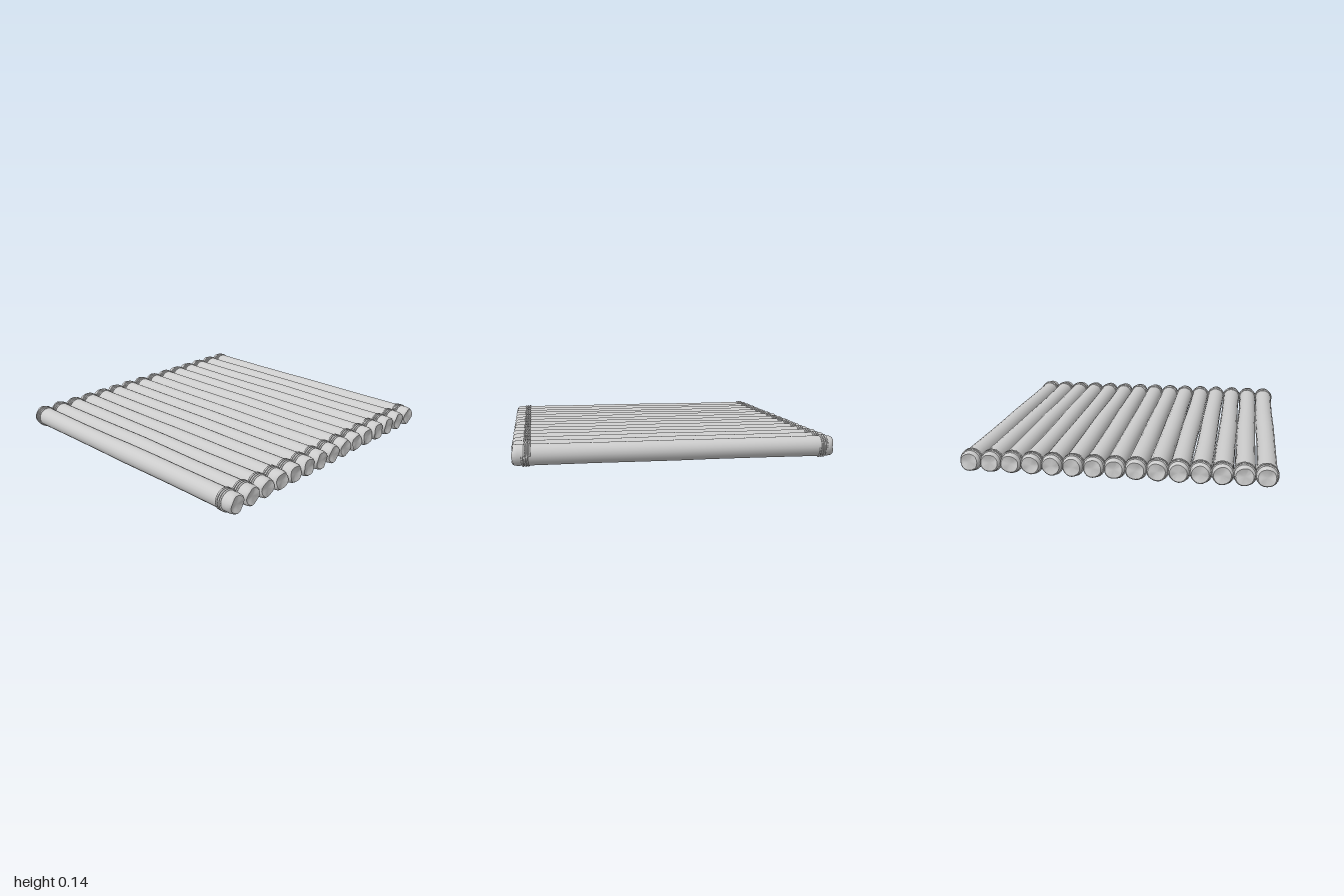
import * as THREE from 'three';
import { toCreasedNormals } from 'three/addons/utils/BufferGeometryUtils.js';

const COUNT = 15, SPACING = 0.132, CENTER_Y = 0.0725;
const material = new THREE.MeshStandardMaterial({ color: 0xcccccc });

// Round log along z, with chipped, chamfered ends and a slightly uneven girth
function logGeometry(seed) {
  const profile = [
    [0, -0.988], [0.035, -0.991], [0.054, -0.995], [0.062, -0.985], [0.065, -0.965], [0.065, -0.85],
    [0.064, -0.5], [0.0645, -0.2], [0.066, 0], [0.0645, 0.25], [0.063, 0.5], [0.0645, 0.85],
    [0.065, 0.965], [0.062, 0.985], [0.054, 0.995], [0.035, 0.991], [0, 0.988],
  ].map(([r, y]) => new THREE.Vector2(r, y));
  const geometry = new THREE.LatheGeometry(profile, 20);
  geometry.rotateX(Math.PI / 2);
  const p = geometry.attributes.position;
  for (let i = 0; i < p.count; i++) {
    const x = p.getX(i), y = p.getY(i), z = p.getZ(i);
    const r = Math.hypot(x, y), a = Math.atan2(y, x);
    const middle = 1 - z * z;
    const girth = 1 + 0.025 * middle * Math.sin(3 * z + seed * 1.7);
    const bow = 0.0025 * middle * Math.sin(4 * z + seed * 2.3);
    const chip = Math.abs(z) > 0.97 ? 0.005 * (r / 0.06) * Math.sin(3 * a + seed) : 0;
    p.setXYZ(i, x * girth + bow, y * girth, z + chip);
  }
  return toCreasedNormals(geometry, 0.6);
}

// Rope winding: a slanted coil of a few turns around the log
function ropeGeometry() {
  const points = [];
  const turns = 3, steps = 20;
  for (let i = 0; i <= turns * steps; i++) {
    const t = i / steps, a = t * Math.PI * 2;
    const z = (t / turns - 0.5) * 0.045 + 0.006 * Math.cos(a);
    points.push(new THREE.Vector3(Math.cos(a) * 0.0665, Math.sin(a) * 0.0665, z));
  }
  return new THREE.TubeGeometry(new THREE.CatmullRomCurve3(points), 84, 0.006, 6);
}

export function createModel() {
  const model = new THREE.Group();
  model.name = 'logPlatform';
  const rope = ropeGeometry();

  for (let i = 0; i < COUNT; i++) {
    const unit = new THREE.Group();
    unit.name = 'boundLog';
    unit.position.set((i - (COUNT - 1) / 2) * SPACING, CENTER_Y, 0);

    const log = new THREE.Mesh(logGeometry(i), material);
    log.name = 'log';
    unit.add(log);

    // One winding near each end
    for (const z of [0.91, -0.935]) {
      const winding = new THREE.Mesh(rope, material);
      winding.name = z > 0 ? 'frontRope' : 'backRope';
      winding.position.z = z;
      unit.add(winding);
    }
    model.add(unit);
  }
  return model;
}
